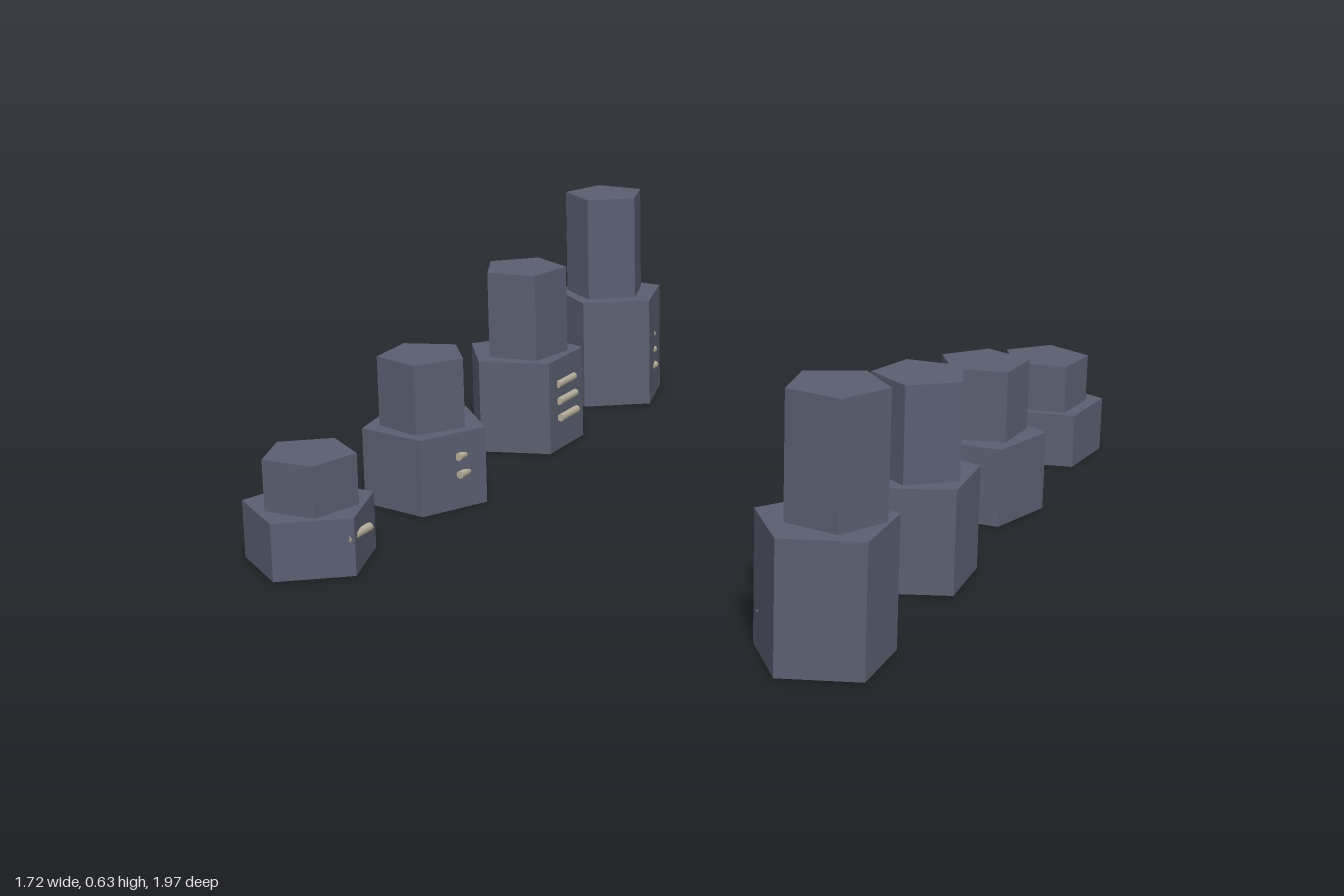
import * as THREE from 'three';

export function createModel() {
  const model = new THREE.Group();
  model.name = 'stonePillars';

  const stone = new THREE.MeshStandardMaterial({ color: 0x5b5f71 });
  stone.name = 'slate stone';
  const bone = new THREE.MeshStandardMaterial({ color: 0xb5ad9a });
  bone.name = 'pale bone';

  // Upright pentagonal block, one corner at the given angle from +x towards +z
  function block(name, [x, z, degrees], radius, bottom, top) {
    const geometry = new THREE.CylinderGeometry(radius, radius, top - bottom, 5).toNonIndexed();
    geometry.rotateY(Math.PI / 2 - THREE.MathUtils.degToRad(degrees) - Math.PI);
    geometry.rotateY(Math.PI);
    geometry.computeVertexNormals();
    const mesh = new THREE.Mesh(geometry, stone);
    mesh.name = name;
    mesh.position.set(x, (bottom + top) / 2, z);
    return mesh;
  }

  // Height of the base and of the whole pillar, by number of peg rungs
  const heights = { 1: [0.15, 0.283], 2: [0.21, 0.4], 3: [0.267, 0.514], 4: [0.325, 0.631] };

  // Per pillar: rungs, row z, then x, z and corner angle of base and of upper block
  const pillars = [
    { rungs: 4, z: -0.81, base: [-0.675, -0.815, 19], upper: [-0.687, -0.815, 17] },
    { rungs: 3, z: -0.29, base: [-0.69, -0.293, 36], upper: [-0.683, -0.293, 46] },
    { rungs: 2, z: 0.27, base: [-0.68, 0.264, 63], upper: [-0.678, 0.268, 70] },
    { rungs: 1, z: 0.805, base: [-0.69, 0.797, 17], upper: [-0.685, 0.797, 52] },
    { rungs: 1, z: -0.81, base: [0.705, -0.823, 43], upper: [0.71, -0.81, 45] },
    { rungs: 2, z: -0.29, base: [0.69, -0.287, 54], upper: [0.692, -0.292, 42] },
    { rungs: 3, z: 0.255, base: [0.698, 0.262, 34], upper: [0.71, 0.258, 17] },
    { rungs: 4, z: 0.805, base: [0.69, 0.82, 36], upper: [0.703, 0.797, 65] },
  ];

  // Short round rungs on the inner face, running front to back
  const rungGeometry = new THREE.CylinderGeometry(0.011, 0.011, 0.1, 8);
  rungGeometry.rotateX(Math.PI / 2);

  for (const { rungs, z, base, upper } of pillars) {
    const pillar = new THREE.Group();
    pillar.name = 'pillar';
    const [baseTop, top] = heights[rungs];
    pillar.add(block('pillarBase', base, 0.171, 0, baseTop));
    pillar.add(block('pillarTop', upper, 0.121, baseTop, top));

    const side = Math.sign(base[0]);
    for (let i = 0; i < rungs; i++) {
      const rung = new THREE.Mesh(rungGeometry, bone);
      rung.name = 'rung';
      rung.position.set(side * ((side < 0 ? 0.543 : 0.553) + i * 0.004), 0.096 + i * 0.049, z);
      pillar.add(rung);
    }
    model.add(pillar);
  }
  return model;
}
